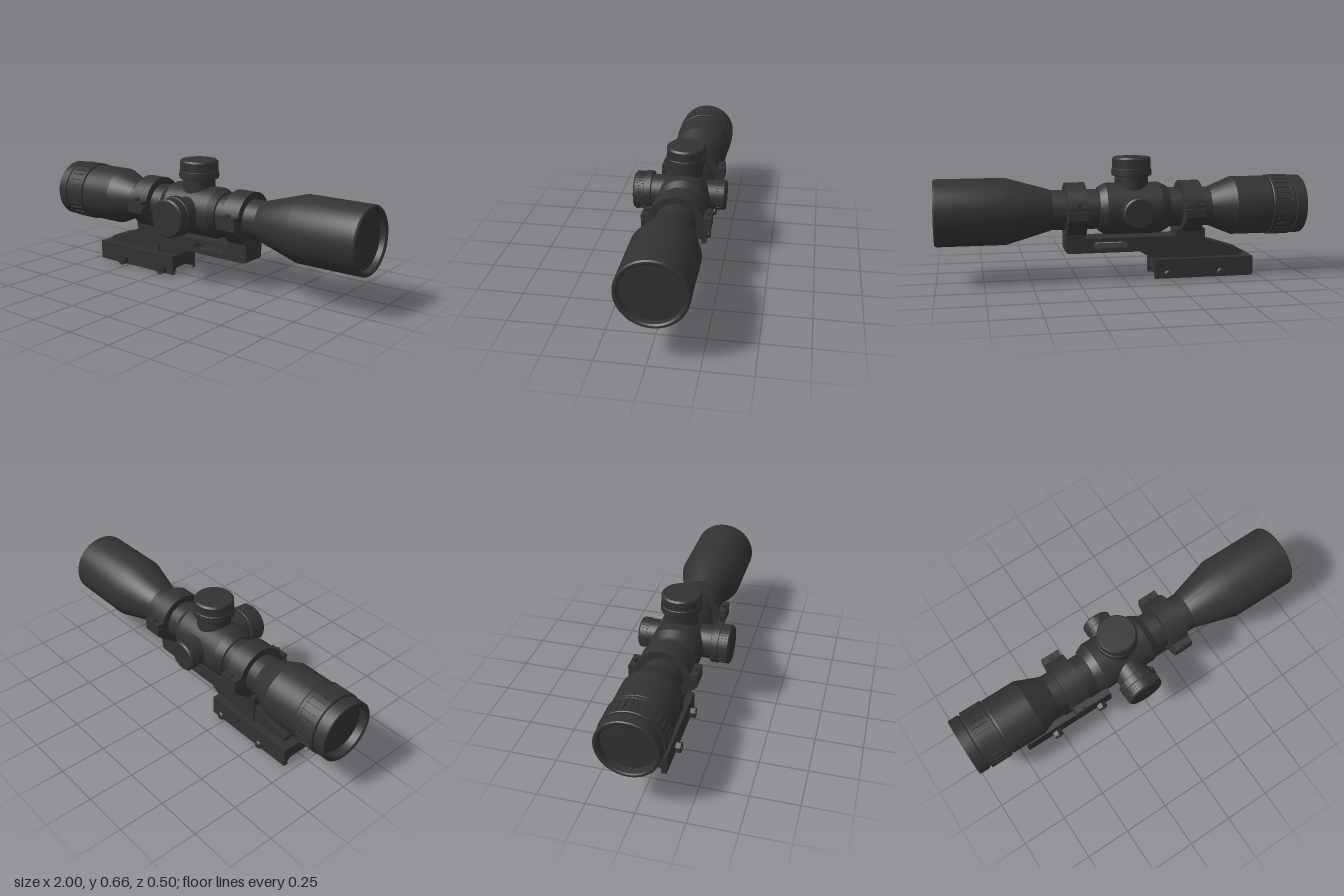
import * as THREE from 'three';
import { toCreasedNormals } from 'three/addons/utils/BufferGeometryUtils.js';

const AXIS_Y = 0.384, AXIS_Z = -0.028, TURRET_X = -0.048;

export function createModel() {
  const black = new THREE.MeshStandardMaterial({ color: 0x323232 });
  black.name = 'matte black';
  const model = new THREE.Group();
  model.name = 'riflescope';

  const add = (parent, name, geo) => {
    const mesh = new THREE.Mesh(geo, black);
    mesh.name = name;
    parent.add(mesh);
    return mesh;
  };
  const group = (parent, name) => {
    const g = new THREE.Group();
    g.name = name;
    parent.add(g);
    return g;
  };
  // Profile points are [radius, position along the axis], sharp at corners
  const lathe = (pts, sides = 72) =>
    toCreasedNormals(new THREE.LatheGeometry(pts.map(([r, y]) => new THREE.Vector2(r, y)), sides), 0.3);
  const latheX = (pts) => lathe(pts).rotateZ(-Math.PI / 2);
  const polygon = (pts) => new THREE.Shape(pts.map(([x, y]) => new THREE.Vector2(x, y)));
  const extrude = (shape, depth) =>
    new THREE.ExtrudeGeometry(shape, { depth, bevelEnabled: false, curveSegments: 32 });
  // Plate with a side outline, centred across the scope
  const plate = (shape, width) => extrude(shape, width).translate(0, 0, AXIS_Z - width / 2);
  // Cross-section (across, up) swept along x
  const sweepX = (shape, length) =>
    extrude(shape, length).translate(0, 0, -length / 2).rotateY(Math.PI / 2);

  // Grip band along y: wide teeth separated by narrow grooves
  const grip = (r, depth, teeth, height) => {
    const pts = [];
    const step = (Math.PI * 2) / teeth;
    for (let i = 0; i < teeth; i++) {
      for (const f of [0, 0.28, 0.56, 0.84]) {
        pts.push([r * Math.cos((i + f) * step), r * Math.sin((i + f) * step)]);
      }
      for (const f of [0.86, 0.98]) {
        pts.push([(r - depth) * Math.cos((i + f) * step), (r - depth) * Math.sin((i + f) * step)]);
      }
    }
    return extrude(polygon(pts), height).rotateX(-Math.PI / 2);
  };

  // Optical tube, around its own axis
  const scope = group(model, 'scope');
  scope.position.set(0, AXIS_Y, AXIS_Z);
  add(scope, 'mainTube', latheX([[0.107, -0.5], [0.107, 0.42]]));
  add(scope, 'objectiveBell', latheX([
    [0.107, 0.39], [0.111, 0.4], [0.177, 0.63], [0.177, 0.992], [0.171, 1], [0.16, 1],
    [0.153, 0.993], [0.153, 0.965],
  ]));
  add(scope, 'objectiveLens', latheX([[0.154, 0.966], [0, 0.97]]));
  add(scope, 'turretSaddle', latheX([
    [0.105, -0.245], [0.117, -0.24], [0.139, -0.195], [0.139, 0.1], [0.117, 0.137], [0.105, 0.14],
  ]));
  add(scope, 'eyepieceBell', latheX([
    [0, -0.81], [0.152, -0.81], [0.16, -0.797], [0.16, -0.605], [0.107, -0.475],
  ]));
  add(scope, 'zoomRingGrip', grip(0.166, 0.006, 30, 0.085).rotateZ(-Math.PI / 2).translate(-0.913, 0, 0));
  for (const x of [-0.93, -0.83]) {
    add(scope, 'zoomRingEdge', latheX([
      [0.15, x], [0.163, x], [0.166, x + 0.004], [0.166, x + 0.02], [0.163, x + 0.024], [0.15, x + 0.024],
    ]));
  }
  add(scope, 'eyepieceRim', latheX([
    [0.137, -0.955], [0.14, -0.995], [0.146, -1], [0.157, -1], [0.161, -0.995],
    [0.161, -0.942], [0.153, -0.938], [0.153, -0.92],
  ]));
  add(scope, 'eyepieceLens', latheX([[0, -0.963], [0.14, -0.957]]));

  // Turrets, built upright with y as distance from the tube axis
  const bigTurret = (name) => {
    const t = group(scope, name);
    t.position.x = TURRET_X;
    add(t, 'turretStem', lathe([[0.09, 0.05], [0.09, 0.185]]));
    add(t, 'capSkirt', lathe([[0, 0.18], [0.106, 0.18], [0.108, 0.183], [0.107, 0.218], [0.102, 0.222], [0.09, 0.222]]));
    add(t, 'capGrip', grip(0.104, 0.004, 40, 0.046).translate(0, 0.22, 0));
    add(t, 'capTop', lathe([[0.09, 0.262], [0.104, 0.262], [0.104, 0.269], [0.096, 0.278], [0, 0.278]]));
    // Index marks on the skirt
    for (let i = 0; i < 20; i++) {
      const a = (i / 20) * Math.PI * 2;
      add(t, 'indexMark', new THREE.BoxGeometry(0.002, 0.014, 0.003).translate(0, 0.195, 0.108).rotateY(a));
    }
    return t;
  };
  bigTurret('elevationTurret');
  bigTurret('windageTurret').rotation.x = Math.PI / 2;

  const side = group(scope, 'rearSideTurret');
  side.position.x = TURRET_X;
  side.rotation.x = -Math.PI / 2;
  add(side, 'turretStem', lathe([[0.078, 0.05], [0.078, 0.175]]));
  add(side, 'capGrip', grip(0.082, 0.003, 30, 0.036).translate(0, 0.172, 0));
  add(side, 'capTop', lathe([[0.07, 0.207], [0.082, 0.207], [0.082, 0.214], [0.074, 0.222], [0, 0.222]]));
  add(side, 'coinBar', new THREE.BoxGeometry(0.012, 0.005, 0.1).translate(0, 0.223, 0));

  // Clamp rings: lower half with tapered ears, upper half with flanges and screws
  for (const x of [-0.365, 0.263]) {
    const ring = group(scope, 'clampRing');
    ring.position.x = x;
    add(ring, 'ringBand', latheX([[0.105, -0.053], [0.145, -0.053], [0.145, 0.053], [0.105, 0.053]]));
    for (const s of [-1, 1]) {
      const upper = [[0.115, 0.012], [0.18, 0.012], [0.18, 0.033], [0.115, 0.033]];
      const lower = [[0.115, -0.085], [0.14, -0.075], [0.18, -0.035], [0.18, 0.007], [0.115, 0.007]];
      const mirror = (pts) => polygon(pts.map(([z, y]) => [s * z, y]));
      add(ring, 'upperEar', sweepX(mirror(upper), 0.106));
      add(ring, 'lowerEar', sweepX(mirror(lower), 0.106));
      for (const dx of [0]) {
        add(ring, 'ringScrew', new THREE.CylinderGeometry(0.014, 0.014, 0.06, 16).translate(dx, 0.018, s * 0.16));
      }
    }
  }

  // Cantilever mount
  const mount = group(model, 'mount');
  const arm = polygon([
    [-0.445, 0.155], [0.3, 0.155], [0.315, 0.16], [0.32, 0.175], [0.32, 0.27], [0.21, 0.27],
    [0.21, 0.235], [-0.285, 0.235], [-0.285, 0.27], [-0.445, 0.27],
  ]);
  const slot = new THREE.Path();
  slot.absarc(0.155, 0.197, 0.016, -Math.PI / 2, Math.PI / 2);
  slot.absarc(-0.003, 0.197, 0.016, Math.PI / 2, Math.PI * 1.5);
  arm.holes.push(slot);
  add(mount, 'cantileverArm', plate(arm, 0.14));
  add(mount, 'rearPost', plate(polygon([[-0.445, 0.1], [-0.285, 0.1], [-0.285, 0.156], [-0.445, 0.156]]), 0.14));
  add(mount, 'gusset', plate(polygon([[-0.29, 0.1], [-0.175, 0.1], [-0.08, 0.156], [-0.29, 0.156]]), 0.12));
  add(mount, 'rearWedge', plate(polygon([[-0.66, 0.1], [-0.44, 0.1], [-0.44, 0.212], [-0.645, 0.149], [-0.66, 0.138]]), 0.12));

  // Rail clamp base with a dovetail channel underneath
  const half = [[0.1, 0.113], [0.1, 0.007], [0.068, 0.007], [0.083, 0.018], [0.06, 0.045]];
  const section = polygon([...half, ...half.map(([z, y]) => [-z, y]).reverse()]);
  add(mount, 'railClampBase', sweepX(section, 0.55).translate(-0.435, 0, AXIS_Z));

  // Cross bolts with hex nuts at the front and round heads at the back
  for (const x of [-0.527, -0.233]) {
    const bolt = group(mount, 'crossBolt');
    bolt.position.set(x, 0.031, AXIS_Z);
    const rod = (name, r, z0, z1, sides) =>
      add(bolt, name, toCreasedNormals(new THREE.CylinderGeometry(r, r, z1 - z0, sides), 0.5)
        .rotateX(Math.PI / 2).translate(0, 0, (z0 + z1) / 2));
    rod('boltShaft', 0.011, -0.1, 0.1, 16);
    rod('hexNut', 0.03, 0.098, 0.127, 6);
    rod('boltTip', 0.013, 0.12, 0.132, 16);
    add(bolt, 'boltHead', lathe([[0, 0.098], [0.023, 0.098], [0.023, 0.11], [0.017, 0.118], [0, 0.118]], 24)
      .rotateX(-Math.PI / 2));
  }

  return model;
}
